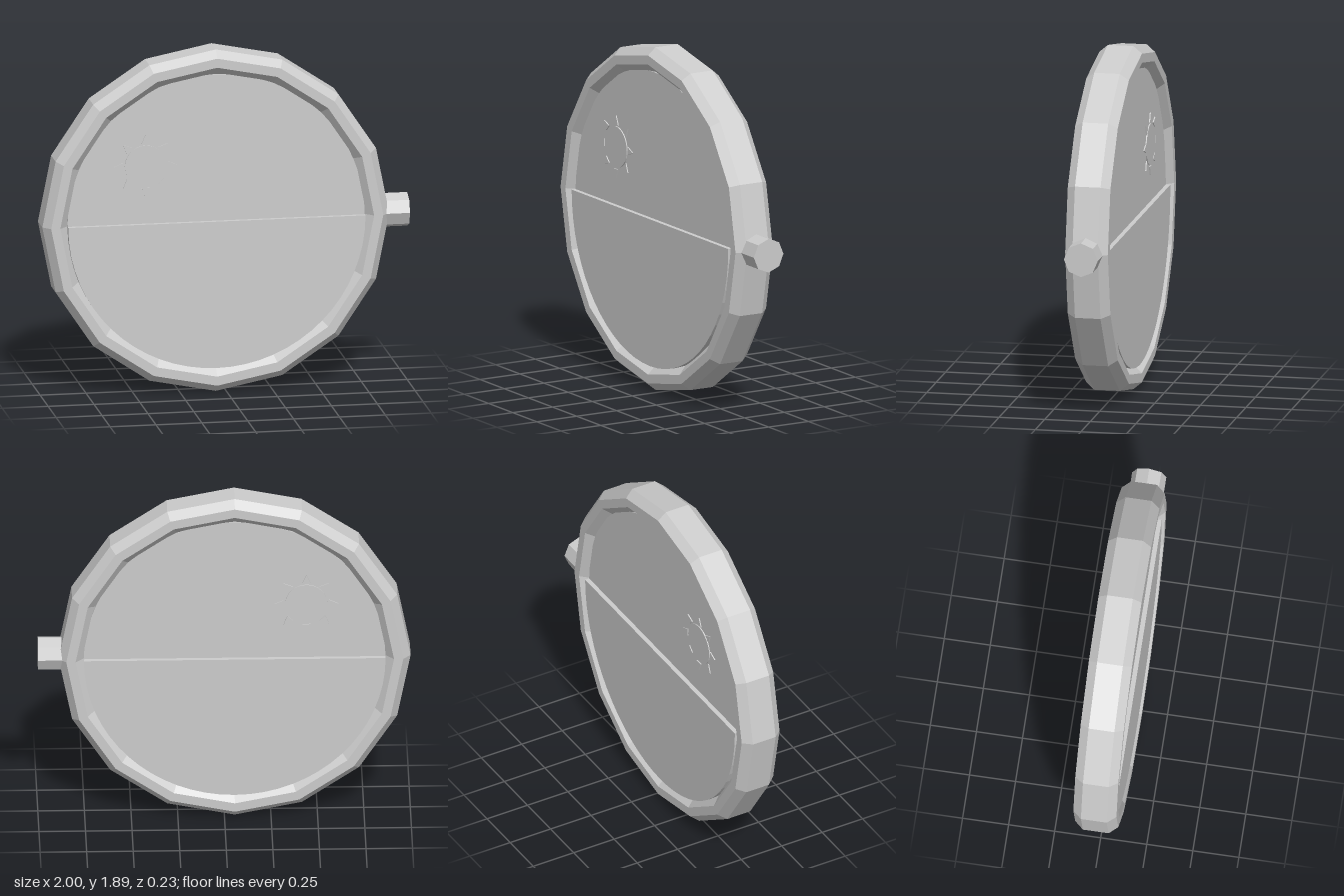
import * as THREE from 'three';

const CX = -0.055, CY = 0.95;

// Faceted look: split the faces so that each has its own normal
function facet(geometry) {
  const g = geometry.index ? geometry.toNonIndexed() : geometry;
  g.computeVertexNormals();
  return g;
}

// Extrude a shape evenly to both sides of z = 0
function slab(shape, halfDepth, curveSegments) {
  const g = new THREE.ExtrudeGeometry(shape, { depth: halfDepth * 2, bevelEnabled: false, curveSegments });
  return facet(g.translate(0, 0, -halfDepth));
}

function halfDisc(start, radius) {
  const s = new THREE.Shape();
  s.absarc(0, 0, radius, start, start + Math.PI, false);
  s.closePath();
  return s;
}

export function createModel() {
  const model = new THREE.Group();
  const grey = new THREE.MeshStandardMaterial({ color: 0xcccccc });
  grey.name = 'plain grey';

  const add = (name, geometry, x, y, parent = model) => {
    const mesh = new THREE.Mesh(geometry, grey);
    mesh.name = name;
    mesh.position.set(x, y, 0);
    parent.add(mesh);
    return mesh;
  };

  // Sixteen-sided rim with an eight-cornered section
  const section = [
    [0.945, -0.07], [0.945, 0.07], [0.905, 0.117], [0.855, 0.117],
    [0.81, 0.07], [0.81, -0.07], [0.855, -0.117], [0.905, -0.117], [0.945, -0.07],
  ].map(([r, y]) => new THREE.Vector2(r, y));
  add('rim', facet(new THREE.LatheGeometry(section, 16).rotateX(Math.PI / 2)), CX, CY);

  // Two half discs filling the rim, the lower one thicker
  add('upperHalf', slab(halfDisc(0, 0.81), 0.08, 16), CX, CY);
  add('lowerHalf', slab(halfDisc(Math.PI, 0.81), 0.105, 16), CX, CY);

  // Side knob
  const knob = new THREE.CylinderGeometry(0.093, 0.093, 0.16, 8).rotateZ(Math.PI / 2);
  add('knob', facet(knob), 0.92, CY);

  // Sun with eight rays, showing on both faces
  const sun = new THREE.Group();
  sun.name = 'sun';
  sun.position.set(-0.44, 1.27, 0);
  model.add(sun);
  const disc = new THREE.Shape();
  disc.absarc(0, 0, 0.113, 0, Math.PI * 2, false);
  add('sunDisc', slab(disc, 0.086, 16), 0, 0, sun);
  const ray = new THREE.Shape([
    new THREE.Vector2(0.122, -0.022), new THREE.Vector2(0.172, 0), new THREE.Vector2(0.122, 0.022),
  ]);
  const rayGeometry = slab(ray, 0.086, 1);
  for (let i = 0; i < 8; i++) {
    add('sunRay', rayGeometry, 0, 0, sun).rotation.z = i * Math.PI / 4;
  }

  return model;
}
